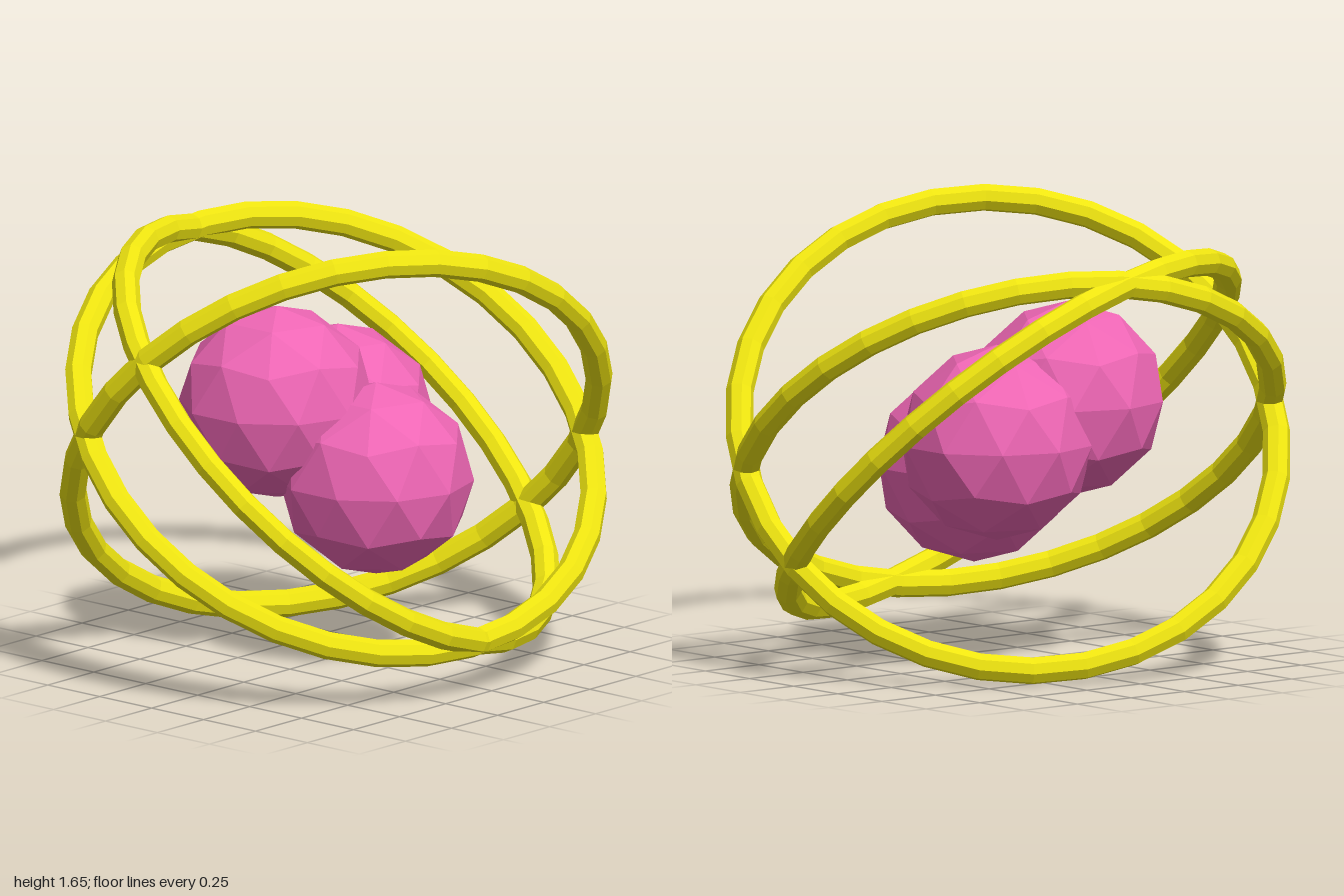
import * as THREE from 'three';

export function createModel() {
  const model = new THREE.Group();
  const pink = new THREE.MeshStandardMaterial({ color: 0xee66b4, flatShading: true });
  const yellow = new THREE.MeshStandardMaterial({ color: 0xeee410, flatShading: true });
  const centreY = 0.825;

  // Nucleus: three overlapping faceted balls, each with a corner pointing straight up
  const ball = new THREE.IcosahedronGeometry(0.355, 1);
  ball.rotateZ(-Math.atan(2 / (1 + Math.sqrt(5))));
  const nucleus = new THREE.Group();
  nucleus.name = 'nucleus';
  const balls = {
    upperBall: [-0.165, 0.955, -0.137],
    middleBall: [0.165, 0.825, -0.137],
    frontBall: [0, 0.695, 0.193],
  };
  for (const [name, position] of Object.entries(balls)) {
    const mesh = new THREE.Mesh(ball, pink);
    mesh.name = name;
    mesh.position.set(...position);
    nucleus.add(mesh);
  }
  model.add(nucleus);

  // Orbits: three equal rings, each tilted so its axis follows the given direction
  const ring = new THREE.TorusGeometry(0.98, 0.05, 8, 32);
  const orbits = new THREE.Group();
  orbits.name = 'orbits';
  const axes = {
    steepOrbit: [-0.39, -0.61, 0.69],
    leftOrbit: [0.235, 0.733, 0.638],
    rightOrbit: [-0.215, 0.755, 0.62],
  };
  const ringAxis = new THREE.Vector3(0, 0, 1);
  for (const [name, axis] of Object.entries(axes)) {
    const mesh = new THREE.Mesh(ring, yellow);
    mesh.name = name;
    mesh.position.y = centreY;
    mesh.quaternion.setFromUnitVectors(ringAxis, new THREE.Vector3(...axis).normalize());
    orbits.add(mesh);
  }
  model.add(orbits);

  return model;
}
